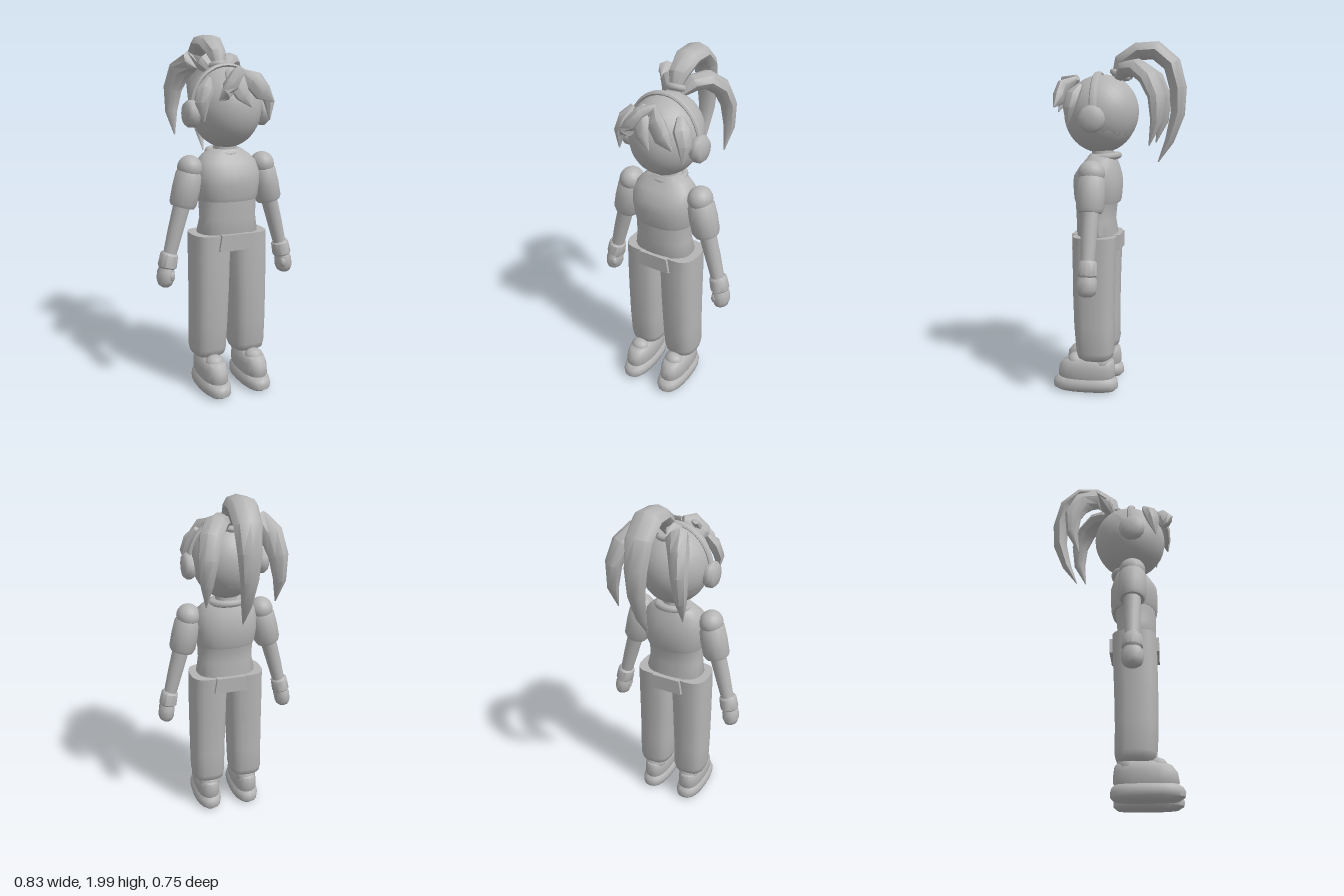
import * as THREE from 'three';
import { toCreasedNormals } from 'three/addons/utils/BufferGeometryUtils.js';

const V = (x, y, z) => new THREE.Vector3(x, y, z);

// Skin a closed surface over rings { c: centre, u, v: half axes, p: roundness power }.
function loft(rings, sides, crease = 0.8) {
  const pos = [], idx = [];
  const soft = (t, p) => Math.sign(t) * Math.pow(Math.abs(t), p);
  for (const r of rings) {
    for (let j = 0; j < sides; j++) {
      const a = (j / sides) * Math.PI * 2;
      const q = r.c.clone()
        .addScaledVector(r.u, soft(Math.cos(a), r.p ?? 1))
        .addScaledVector(r.v, soft(Math.sin(a), r.p ?? 1));
      pos.push(q.x, q.y, q.z);
    }
  }
  const n = rings.length;
  for (let i = 0; i < n - 1; i++) {
    for (let j = 0; j < sides; j++) {
      const k = (j + 1) % sides;
      const a = i * sides + j, b = i * sides + k;
      idx.push(a, b, b + sides, a, b + sides, a + sides);
    }
  }
  const first = n * sides, last = first + 1;
  for (const r of [rings[0], rings[n - 1]]) pos.push(r.c.x, r.c.y, r.c.z);
  for (let j = 0; j < sides; j++) {
    const k = (j + 1) % sides, top = (n - 1) * sides;
    idx.push(first, k, j, last, top + j, top + k);
  }
  const g = new THREE.BufferGeometry();
  g.setAttribute('position', new THREE.Float32BufferAttribute(pos, 3));
  g.setIndex(idx);
  g.computeVertexNormals();
  return toCreasedNormals(g, crease);
}

// Level slices, bottom to top: [y, centreX, centreZ, halfX, halfZ]
const stack = (rows, sides = 20, p = 1, crease = 0.8) => loft(rows.map(
  ([y, x, z, rx, rz]) => ({ c: V(x, y, z), u: V(0, 0, rz), v: V(rx, 0, 0), p })), sides, crease);

// Tapered strand along points [x, y, z, halfWidth, halfThickness]
function strand(rows, side, sides = 8, crease = 0.8) {
  const pts = rows.map(r => V(r[0], r[1], r[2]));
  return loft(rows.map((r, i) => {
    const t = pts[Math.min(i + 1, pts.length - 1)].clone().sub(pts[Math.max(i - 1, 0)]).normalize();
    const u = side.clone().addScaledVector(t, -side.dot(t)).normalize();
    const v = t.clone().cross(u);
    return { c: pts[i], u: u.multiplyScalar(r[3]), v: v.multiplyScalar(r[4]) };
  }), sides, crease);
}

export function createModel() {
  const model = new THREE.Group();
  model.name = 'figure';
  const grey = new THREE.MeshStandardMaterial({ color: 0xb4b4b4 });
  grey.name = 'plain grey';
  const add = (name, geometry, x = 0, y = 0, z = 0) => {
    const m = new THREE.Mesh(geometry, grey);
    m.name = name;
    m.position.set(x, y, z);
    model.add(m);
    return m;
  };

  // Head and neck
  add('head', new THREE.SphereGeometry(1, 28, 20), 0, 1.597, 0.11).scale.set(0.192, 0.217, 0.208);
  add('neck', new THREE.CylinderGeometry(0.06, 0.07, 0.12, 16), 0, 1.37, 0.1);

  // Hair cap, swept to the back of the head with a zigzag hem
  const cap = new THREE.SphereGeometry(1, 28, 12, 0, Math.PI * 2, 0, 1.9);
  const cp = cap.attributes.position;
  for (let i = 0; i < cp.count; i++) {
    if (i >= cp.count - 29 && i % 2) cp.setY(i, cp.getY(i) + 0.12);
  }
  cap.computeVertexNormals();
  const capMesh = add('hairCap', cap, 0, 1.603, 0.106);
  capMesh.scale.set(0.197, 0.217, 0.21);
  capMesh.rotation.x = -0.6;

  // Ponytail: a long middle lock and two side locks
  add('ponytailMiddle', strand([
    [0, 1.80, 0.03, 0.025, 0.02], [0, 1.88, -0.01, 0.055, 0.05], [0, 1.94, -0.10, 0.075, 0.05],
    [0, 1.945, -0.20, 0.08, 0.052], [0, 1.87, -0.29, 0.075, 0.05], [0, 1.74, -0.325, 0.065, 0.048],
    [0, 1.60, -0.325, 0.05, 0.04], [0, 1.45, -0.28, 0.03, 0.026], [0, 1.33, -0.217, 0.003, 0.003]
  ], V(1, 0, 0)));
  for (const s of [1, -1]) {
    add('ponytailSide', strand([
      [s * 0.03, 1.79, 0.01, 0.025, 0.02], [s * 0.07, 1.84, -0.04, 0.055, 0.045],
      [s * 0.115, 1.845, -0.11, 0.065, 0.05], [s * 0.16, 1.79, -0.18, 0.065, 0.05],
      [s * 0.185, 1.69, -0.225, 0.055, 0.045], [s * 0.195, 1.56, -0.225, 0.036, 0.032],
      [s * 0.19, 1.43, -0.185, 0.003, 0.003]
    ], V(1, 0, 0.75)));
  }
  add('hairTie', new THREE.TorusGeometry(0.045, 0.018, 8, 16), 0, 1.815, 0.0).rotation.x = Math.PI / 2 - 0.4;

  // Fringe locks over the forehead and temples
  add('fringeRight', strand([
    [0.02, 1.80, 0.24, 0.02, 0.015], [-0.02, 1.775, 0.295, 0.055, 0.035],
    [-0.065, 1.715, 0.315, 0.062, 0.04], [-0.10, 1.675, 0.335, 0.04, 0.025], [-0.135, 1.645, 0.33, 0.003, 0.003]
  ], V(0.55, 0.8, 0), 7));
  add('fringeMiddle', strand([
    [-0.05, 1.795, 0.25, 0.02, 0.015], [-0.03, 1.745, 0.305, 0.055, 0.03],
    [0.0, 1.67, 0.33, 0.04, 0.025], [0.045, 1.61, 0.345, 0.003, 0.003]
  ], V(1, 0.4, 0), 7));
  add('fringeLeft', strand([
    [0.02, 1.79, 0.25, 0.02, 0.015], [0.07, 1.745, 0.31, 0.055, 0.035],
    [0.115, 1.685, 0.325, 0.05, 0.035], [0.175, 1.635, 0.34, 0.003, 0.003]
  ], V(0.6, 0.7, 0), 7));
  for (const s of [1, -1]) {
    add('templeLock', strand([
      [s * 0.14, 1.755, 0.20, 0.02, 0.015], [s * 0.17, 1.70, 0.235, 0.05, 0.035],
      [s * 0.195, 1.63, 0.25, 0.042, 0.03], [s * 0.19, 1.535, 0.265, 0.003, 0.003]
    ], V(0.6 * s, 0, -0.8), 7));
  }

  // Headset
  const band = [];
  for (let i = 0; i <= 20; i++) {
    const a = (i / 20) * Math.PI;
    band.push([0.208 * Math.cos(a), 1.59 + 0.233 * Math.sin(a), 0.12, 0.022, 0.012]);
  }
  add('headband', strand(band, V(0, 0, 1), 8, 0.6));
  for (const s of [1, -1]) {
    const cup = add('earCup', new THREE.LatheGeometry([
      [0.001, -0.035], [0.06, -0.035], [0.074, -0.015], [0.074, 0.01], [0.058, 0.03], [0.02, 0.037], [0.001, 0.037]
    ].map(([r, y]) => new THREE.Vector2(r, y)), 14), s * 0.212, 1.57, 0.125);
    cup.rotation.z = -s * Math.PI / 2;
  }

  // Torso, short jacket and collar
  add('torso', stack([
    [0.80, 0, 0.125, 0.03, 0.08], [0.86, 0, 0.125, 0.14, 0.105], [0.92, 0, 0.13, 0.175, 0.115],
    [1.0, 0, 0.138, 0.16, 0.11], [1.08, 0, 0.135, 0.163, 0.115], [1.12, 0, 0.13, 0.165, 0.12]
  ], 24, 0.85));
  add('jacket', stack([
    [1.10, 0, 0.127, 0.166, 0.126], [1.12, 0, 0.127, 0.173, 0.133], [1.19, 0, 0.126, 0.183, 0.138],
    [1.25, 0, 0.126, 0.183, 0.136], [1.31, 0, 0.115, 0.168, 0.108], [1.345, 0, 0.105, 0.135, 0.085],
    [1.375, 0, 0.1, 0.09, 0.07]
  ], 24, 0.85));
  const collar = add('collar', new THREE.TorusGeometry(0.08, 0.02, 8, 24), 0, 1.357, 0.09);
  collar.rotation.x = Math.PI / 2 + 0.12;
  collar.scale.set(1.1, 1, 1);

  // Belt flaps at front and back
  for (const s of [1, -1]) {
    const flap = new THREE.Shape([[-0.1, 0.83], [0.1, 0.83], [0.085, 0.92], [-0.085, 0.92]]
      .map(([x, y]) => new THREE.Vector2(x, y)));
    add('beltFlap', new THREE.ExtrudeGeometry(flap, { depth: 0.04, bevelEnabled: false }),
      0, 0, s > 0 ? 0.225 : -0.012);
  }

  for (const s of [1, -1]) {
    // Trouser leg
    add('trouserLeg', stack([
      [0.20, s * 0.12, 0.125, 0.075, 0.08], [0.215, s * 0.12, 0.125, 0.092, 0.1], [0.25, s * 0.12, 0.125, 0.1, 0.108],
      [0.4, s * 0.118, 0.132, 0.102, 0.113], [0.6, s * 0.114, 0.133, 0.106, 0.118],
      [0.8, s * 0.111, 0.13, 0.109, 0.122], [0.915, s * 0.112, 0.127, 0.106, 0.122]
    ], 20, 0.72));

    // Shoe
    add('ankle', new THREE.SphereGeometry(0.065, 16, 10), s * 0.12, 0.18, 0.09);
    add('shoeUpper', stack([
      [0.075, s * 0.122, 0.178, 0.065, 0.155], [0.1, s * 0.122, 0.178, 0.073, 0.168],
      [0.15, s * 0.122, 0.175, 0.073, 0.164], [0.185, s * 0.122, 0.165, 0.066, 0.148],
      [0.203, s * 0.122, 0.15, 0.05, 0.11]
    ], 20, 0.8));
    add('shoeTongue', new THREE.SphereGeometry(1, 12, 8), s * 0.122, 0.185, 0.24).scale.set(0.055, 0.042, 0.05);
    add('shoeSole', stack([
      [0.008, s * 0.122, 0.18, 0.06, 0.165], [0.025, s * 0.122, 0.184, 0.08, 0.188], [0.05, s * 0.122, 0.185, 0.084, 0.191],
      [0.072, s * 0.122, 0.183, 0.08, 0.184], [0.088, s * 0.122, 0.18, 0.066, 0.165]
    ], 20, 0.8));

    // Arm: shoulder ball, sleeve, forearm, cuff and fist
    add('shoulder', new THREE.SphereGeometry(1, 18, 12), s * 0.218, 1.28, 0.125).scale.set(0.068, 0.07, 0.075);
    add('sleeve', strand([
      [s * 0.215, 1.27, 0.125, 0.062, 0.062], [s * 0.222, 1.245, 0.125, 0.077, 0.075],
      [s * 0.24, 1.17, 0.125, 0.08, 0.078], [s * 0.258, 1.09, 0.125, 0.077, 0.076], [s * 0.263, 1.07, 0.125, 0.066, 0.066]
    ], V(0, 0, 1), 14));
    add('forearm', strand([
      [s * 0.26, 1.1, 0.125, 0.048, 0.048], [s * 0.305, 0.94, 0.125, 0.045, 0.043], [s * 0.345, 0.79, 0.125, 0.038, 0.036]
    ], V(0, 0, 1), 14));
    add('cuff', strand([
      [s * 0.339, 0.82, 0.125, 0.04, 0.042], [s * 0.342, 0.81, 0.125, 0.052, 0.05],
      [s * 0.356, 0.745, 0.125, 0.056, 0.053], [s * 0.358, 0.735, 0.125, 0.045, 0.045]
    ], V(0, 0, 1), 12));
    add('fist', strand([
      [s * 0.357, 0.75, 0.125, 0.042, 0.035], [s * 0.364, 0.715, 0.126, 0.058, 0.047],
      [s * 0.369, 0.67, 0.126, 0.058, 0.047], [s * 0.371, 0.645, 0.126, 0.048, 0.038],
      [s * 0.372, 0.632, 0.126, 0.03, 0.022]
    ], V(0, 0, 1), 12));
    add('thumb', new THREE.SphereGeometry(1, 10, 8), s * 0.345, 0.695, 0.165).scale.set(0.02, 0.03, 0.02);
  }
  return model;
}
